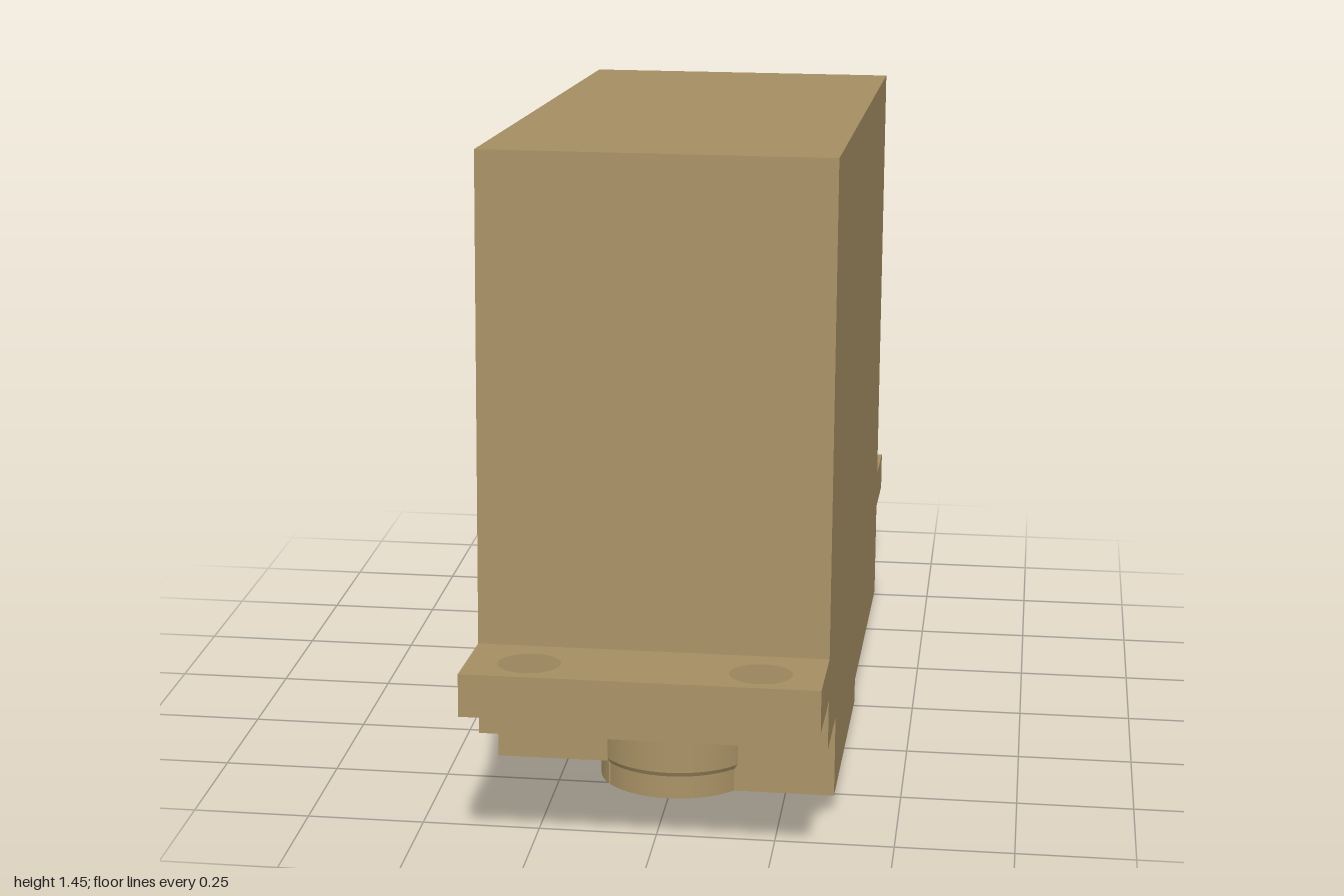
import * as THREE from 'three';

const HALF = 0.363; // half width of the housing

export function createModel() {
  const model = new THREE.Group();
  model.name = 'servoMotor';
  const tan = new THREE.MeshStandardMaterial({ color: 0xa68f63 });
  tan.name = 'tan plastic';

  // the whole housing leans slightly, front end raised
  const tilted = new THREE.Group();
  tilted.name = 'tiltedServo';
  tilted.rotation.x = -0.0715;
  tilted.position.set(0, -0.005, 0.002);
  model.add(tilted);

  function add(name, geometry, x = 0, y = 0, z = 0) {
    const mesh = new THREE.Mesh(geometry, tan);
    mesh.name = name;
    mesh.position.set(x, y, z);
    tilted.add(mesh);
    return mesh;
  }

  // housing: side profile in (z, y) with a stepped underside, extruded across x
  const profile = new THREE.Shape([
    [0.82, 1.4], [-0.773, 1.4], [-0.773, 0.06], [0.61, 0.06], [0.61, 0.183], [0.82, 0.183],
  ].map(([z, y]) => new THREE.Vector2(-z, y)));
  const housing = new THREE.ExtrudeGeometry(profile, { depth: 2 * HALF, bevelEnabled: false });
  housing.translate(0, 0, -HALF).rotateY(Math.PI / 2);
  add('housing', housing);

  // raised pad under the front half, stopping short of the right side
  const padLeft = -0.122;
  add('gearPad', new THREE.BoxGeometry(HALF - padLeft, 0.053, 0.635),
    (HALF + padLeft) / 2, 0.0335, 0.2925);

  // output boss: wide collar, small chamfer, narrower end
  const bossX = 0.015, bossZ = 0.51;
  function ring(name, top, bottom, y0, y1) {
    add(name, new THREE.CylinderGeometry(top, bottom, y1 - y0, 48), bossX, (y0 + y1) / 2, bossZ);
  }
  ring('bossCollar', 0.173, 0.173, 0.066, 0.183);
  ring('bossChamfer', 0.173, 0.167, 0.056, 0.066);
  ring('bossEnd', 0.167, 0.167, 0.007, 0.056);

  // mounting tabs with two screw holes each
  function tab(name, z0, z1, holeZ) {
    const plate = new THREE.Shape([
      new THREE.Vector2(-HALF, -z0), new THREE.Vector2(HALF, -z0),
      new THREE.Vector2(HALF, -z1), new THREE.Vector2(-HALF, -z1),
    ]);
    for (const side of [-1, 1]) {
      const hole = new THREE.Path();
      hole.absarc(side * 0.235, -holeZ, 0.064, 0, Math.PI * 2, true);
      plate.holes.push(hole);
    }
    const geometry = new THREE.ExtrudeGeometry(plate, {
      depth: 0.089, bevelEnabled: false, curveSegments: 32,
    });
    add(name, geometry.rotateX(-Math.PI / 2), 0, 0.288, 0);
  }
  tab('frontTab', 0.82, 1.027, 0.937);
  tab('backTab', -0.977, -0.773, -0.89);

  return model;
}
